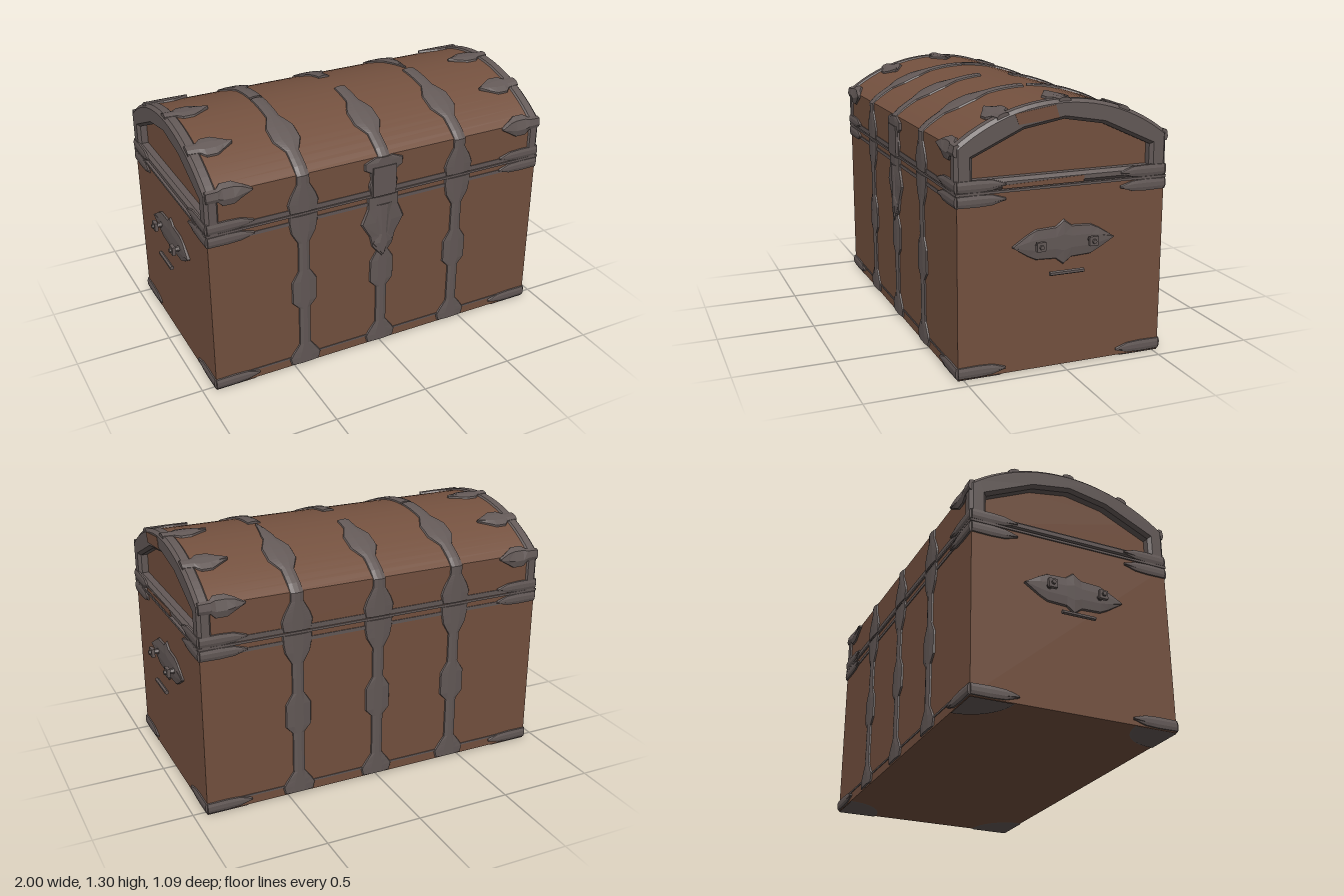
import * as THREE from 'three';
import { toCreasedNormals } from 'three/addons/utils/BufferGeometryUtils.js';

const X = 0.933, Z = 0.528;              // half length and half depth
const R = 0.852, CY = 0.433, ARC = 0.572; // lid arch radius, centre height, half arc length

export function createModel() {
  const root = new THREE.Group();
  root.name = 'chest';
  const wood = new THREE.MeshStandardMaterial({ color: 0x74513f });
  wood.name = 'brown wood';
  const metal = new THREE.MeshStandardMaterial({ color: 0x635957, flatShading: true, side: THREE.DoubleSide });
  metal.name = 'dark iron';

  const add = (name, geo, mat, x = 0, y = 0, z = 0) => {
    const m = new THREE.Mesh(geo, mat);
    m.name = name;
    m.position.set(x, y, z);
    root.add(m);
    return m;
  };
  const box = (name, mat, w, h, d, x, y, z) => add(name, new THREE.BoxGeometry(w, h, d), mat, x, y, z);

  // Thin raised plate: rows of [distance along, half width], laid on a surface by map(along, across, height)
  const plate = (name, rows, map, t = 0.012, steps = 1) => {
    const pos = [], idx = [];
    const fine = [];
    rows.forEach((r, i) => {
      if (i === 0) return fine.push(r);
      const p = rows[i - 1];
      for (let k = 1; k <= steps; k++) {
        const f = k / steps;
        fine.push([p[0] + (r[0] - p[0]) * f, p[1] + (r[1] - p[1]) * f]);
      }
    });
    for (const [a, w] of fine) {
      for (const [b, h] of [[-1, -0.002], [-0.92, t * 0.6], [-0.35, t], [0.35, t], [0.92, t * 0.6], [1, -0.002]]) {
        pos.push(...map(a, b * w, h));
      }
    }
    const n = 6, last = (fine.length - 1) * n;
    for (let i = 0; i < fine.length - 1; i++) {
      for (let j = 0; j < n - 1; j++) {
        const p = i * n + j;
        idx.push(p, p + 1, p + n, p + 1, p + n + 1, p + n);
      }
    }
    for (let j = 1; j < n - 1; j++) idx.push(0, j + 1, j, last, last + j, last + j + 1);
    const g = new THREE.BufferGeometry();
    g.setAttribute('position', new THREE.Float32BufferAttribute(pos, 3));
    g.setIndex(idx);
    g.computeVertexNormals();
    return add(name, g, metal);
  };

  // Point on the lid: x, distance c from the ridge (positive to the front), height h
  const onLid = (x, c, h) => {
    const s = Math.sign(c) || 1, d = Math.abs(c);
    if (d > ARC) return [x, 1.1 - (d - ARC), s * (Z + h)];
    return [x, CY + (R + h) * Math.cos(c / R), (R + h) * Math.sin(c / R)];
  };
  // Point on a front/back wall or on an end wall
  const onWall = (s) => (x, y, h) => [x, y, s * (Z + h)];
  const onEnd = (s) => (z, y, h) => [s * (X + h), y, z];

  // Lid cross-section, drawn as (z, y)
  const lidProfile = (grow) => {
    const s = new THREE.Shape();
    s.moveTo(-Z - grow, 0.897);
    for (let i = 0; i <= 24; i++) {
      const [, y, z] = onLid(0, -ARC + (ARC * 2 * i) / 24, grow);
      s.lineTo(i === 0 ? -Z - grow : i === 24 ? Z + grow : z, y);
    }
    s.lineTo(Z + grow, 0.897);
    s.closePath();
    return s;
  };
  const extrudeX = (shape, x0, x1, opts = {}) => {
    const g = new THREE.ExtrudeGeometry(shape, { depth: x1 - x0, bevelEnabled: false, ...opts });
    g.rotateY(-Math.PI / 2);            // shape x -> z, depth -> -x
    g.translate(x1, 0, 0);
    return g;
  };
  const polygon = (pts) => new THREE.Shape(pts.map(([z, y]) => new THREE.Vector2(z, y)));

  // Wooden body and domed lid, its ends set back inside the rims
  box('body', wood, X * 2, 0.881, Z * 2, 0, 0.4445, 0);
  add('lid', toCreasedNormals(extrudeX(lidProfile(0), -0.885, 0.885), 0.5), wood);
  box('lidSeam', metal, 1.88, 0.012, 1.07, 0, 0.891, 0);

  // Iron rims around both lid ends
  const rimShape = lidProfile(0.008);
  rimShape.holes.push(new THREE.Path([[-0.45, 0.95], [0.45, 0.95], [0.45, 1.05], [0.2, 1.165], [0, 1.2],
    [-0.2, 1.165], [-0.45, 1.05]].map(([z, y]) => new THREE.Vector2(z, y))));
  const bevel = { bevelEnabled: true, bevelThickness: 0.016, bevelSize: 0.016, bevelOffset: -0.016, bevelSegments: 1 };
  for (const s of [-1, 1]) {
    const x0 = s > 0 ? 0.88 : -0.92;
    add('lidEndRim', extrudeX(rimShape, x0, x0 + 0.04, bevel), metal);
  }
  // Bare wood showing through the rim on the left end
  add('bareRimPatch', extrudeX(polygon([[0.03, 1.21], [0.23, 1.19], [0.25, 1.24], [0.05, 1.27]]), 0.932, 0.938), wood);
  add('bareSillPatch', extrudeX(polygon([[-0.1, 0.902], [0.31, 0.902], [0.31, 0.918], [-0.1, 0.932]]), 0.932, 0.938), wood);

  // Straps on the walls and over the lid
  const wallRows = [[0.012, 0.08], [0.05, 0.09], [0.08, 0.07], [0.13, 0.032], [0.35, 0.032], [0.39, 0.07],
    [0.51, 0.07], [0.57, 0.032], [0.73, 0.032], [0.79, 0.068], [0.84, 0.078], [0.884, 0.08]];
  const lidRows = [[0.77, 0.075], [0.72, 0.085], [0.68, 0.07], [0.62, 0.035], [0.44, 0.035], [0.37, 0.075],
    [0.28, 0.075], [0.2, 0.035]];
  for (const s of [-1, 1]) {
    for (const x of [-0.44, 0, 0.44]) {
      plate('wallStrap', wallRows, (a, b, h) => onWall(s)(x + b, a, h));
      let end = [[0.008, 0.035]];
      if (x === 0) end = [[s > 0 ? 0.06 : 0.12, 0.032]];
      else if (x > 0 && s < 0) end = [[0.17, 0.033], [0.02, 0.004]];
      plate('lidStrap', [...lidRows, ...end], (a, b, h) => onLid(x + b, s * a, h), 0.012, 4);
    }
    // Thin edge trims along the front and back
    for (const [y, t] of [[0.912, 0.024], [0.85, 0.018], [0.055, 0.01]]) {
      box('edgeTrim', metal, X * 2 - 0.1, t, 0.008, 0, y, s * Z);
    }
  }

  // Leaf-shaped prongs reaching inward from the lid rims, and corner fittings
  const leaf = [[0.93, 0.03], [0.87, 0.035], [0.845, 0.06], [0.79, 0.06], [0.75, 0.035], [0.7, 0.006]];
  const corner = [[0, 0.028], [0.1, 0.03], [0.17, 0.026], [0.235, 0.006]];
  for (const sx of [-1, 1]) {
    for (const c of [-0.58, -0.31, 0, 0.31, 0.58]) {
      plate('lidProng', leaf, (a, b, h) => onLid(sx * a, c + b, h), 0.016);
    }
    for (const sz of [-1, 1]) {
      for (const y of [0.036, 0.856, 0.925]) {
        plate('cornerFrontPlate', corner, (a, b, h) => onWall(sz)(sx * (X - a), y + b, h));
        plate('cornerEndPlate', corner, (a, b, h) => onEnd(sx)(sz * (Z - a), y + b, h), 0.01);
      }
      // Rounded foot plates under the bottom corners
      const start = sx < 0 ? (sz < 0 ? 0 : 0.5) : (sz < 0 ? 1.5 : 1);
      add('footPlate', new THREE.CylinderGeometry(0.235, 0.21, 0.01, 8, 1, false, start * Math.PI, Math.PI / 2),
        metal, sx * X, 0.005, sz * Z);
    }

    // End handle: pointed back plate, two pegs and a loose grip
    plate('handlePlate', [[-0.26, 0.003], [-0.18, 0.055], [-0.14, 0.075], [-0.04, 0.08], [0, 0.112],
      [0.04, 0.08], [0.14, 0.075], [0.18, 0.055], [0.26, 0.003]], (a, b, h) => onEnd(sx)(a, 0.62 + b, h), 0.014);
    for (const sz of [-1, 1]) {
      const peg = add('handlePeg', new THREE.CylinderGeometry(0.011, 0.016, 0.065, 6), metal, sx * 0.967, 0.622, sz * 0.135);
      peg.rotation.z = -sx * Math.PI / 2;
      box('handleEye', metal, 0.018, 0.045, 0.045, sx * 0.98, 0.622, sz * 0.135);
    }
    const grip = add('handleGrip', new THREE.CylinderGeometry(0.011, 0.011, 0.175, 6, 6), metal, sx * 0.977, 0.485, 0);
    grip.rotation.x = Math.PI / 2;
  }

  // Lock on the front: lower plate with pointed boss, upper plate and hasp
  const onFront = (a, b, h) => onWall(1)(b, a, h);
  plate('lockPlate', [[0.54, 0.01], [0.6, 0.06], [0.66, 0.075], [0.74, 0.125], [0.82, 0.09], [0.884, 0.09]], onFront, 0.016);
  plate('lockBoss', [[0.55, 0.005], [0.62, 0.06], [0.67, 0.03], [0.84, 0.055]], onFront, 0.022);
  plate('haspPlate', [[0.9, 0.07], [1.02, 0.075], [1.04, 0.11], [1.075, 0.112], [1.1, 0.05]], onFront, 0.016);
  box('hasp', metal, 0.13, 0.16, 0.022, 0, 0.97, 0.537);

  return root;
}
